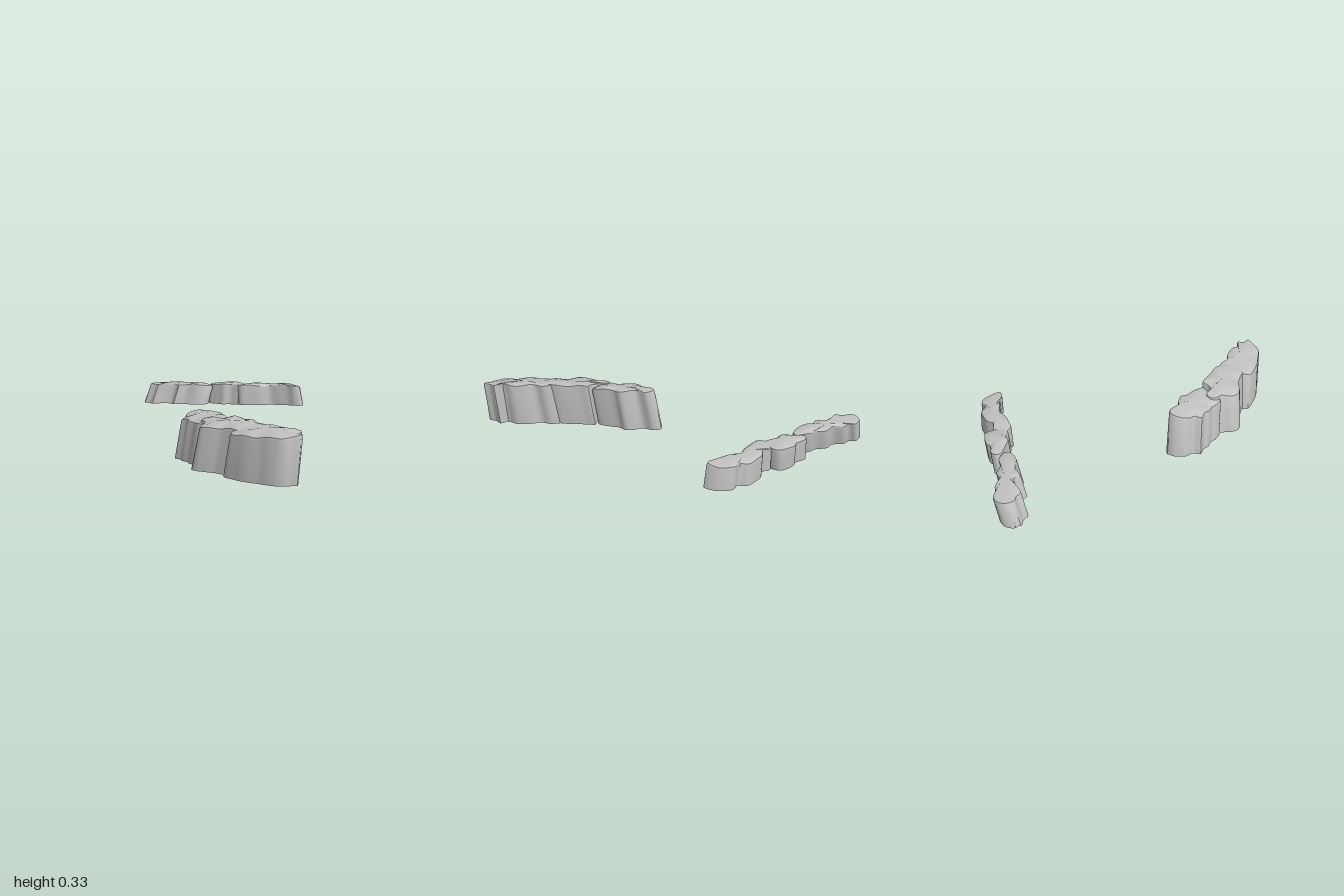
import * as THREE from 'three';
import { toCreasedNormals } from 'three/addons/utils/BufferGeometryUtils.js';

const stone = new THREE.MeshStandardMaterial({ color: 0xc0c0c0, side: THREE.DoubleSide });
stone.name = 'grey stone';

// Small repeatable jitter in -1..1
const jitter = (n) => {
  const s = Math.sin(n * 12.9898) * 43758.5453;
  return (s - Math.floor(s)) * 2 - 1;
};

// One craggy rock: lobed rim outline [x, z, ...] in hundredths, leaning walls, sloped domed top, open below
function rock(name, outline, { height, tilt, shift, flare, base }) {
  const points = [];
  for (let i = 0; i < outline.length; i += 2) {
    points.push(new THREE.Vector3(outline[i] / 100, 0, outline[i + 1] / 100));
  }
  const curve = new THREE.CatmullRomCurve3(points, true, 'centripetal');
  const count = points.length * 4;
  const rim = [];
  for (let i = 0; i < count; i++) rim.push(curve.getPoint(i / count));
  const c = new THREE.Box3().setFromPoints(points).getCenter(new THREE.Vector3());

  // Top height at a point scaled k from the centre
  const top = (p, k) => {
    const x = c.x + (p.x - c.x) * k;
    const z = c.z + (p.z - c.z) * k;
    const y = height + tilt[0] * (x - c.x) + tilt[1] * (z - c.z)
      - 0.016 * k ** 4 + 0.004 * Math.sin(x * 31 + z * 23);
    return [x, y, z];
  };
  const rings = [
    // Foot, jagged by the jitter
    (p, i) => {
      const k = flare + 0.03 * jitter(Math.floor(i / 3) + points.length);
      const x = c.x + (p.x - c.x) * k + shift[0];
      return [x, base + 0.02 * x, c.z + (p.z - c.z) * k + shift[1]];
    },
    // Shoulder just under the rim
    (p) => {
      const [x, y, z] = top(p, 1);
      return [x + shift[0] * 0.06, y - 0.012, z + shift[1] * 0.06];
    },
    (p) => top(p, 0.975),
    (p) => top(p, 0.8),
    (p) => top(p, 0.5),
    (p) => top(p, 0),
  ];

  const position = [];
  const index = [];
  rings.forEach((ring) => rim.forEach((p, i) => position.push(...ring(p, i))));
  for (let r = 0; r < rings.length - 1; r++) {
    for (let i = 0; i < count; i++) {
      const a = r * count + i;
      const b = r * count + (i + 1) % count;
      index.push(a, a + count, b);
      if (r < rings.length - 2) index.push(b, a + count, b + count);
    }
  }
  const geometry = new THREE.BufferGeometry();
  geometry.setAttribute('position', new THREE.Float32BufferAttribute(position, 3));
  geometry.setIndex(index);
  const mesh = new THREE.Mesh(toCreasedNormals(geometry, 0.55), stone);
  mesh.name = name;
  return mesh;
}

// Outlines run clockwise seen from above; reversed here so faces point outward
const reversed = (o) => {
  const out = [];
  for (let i = o.length - 2; i >= 0; i -= 2) out.push(o[i], o[i + 1]);
  return out;
};

export function createModel() {
  const model = new THREE.Group();
  model.name = 'cliffs';

  // Large front ridge, running diagonally
  const frontRidge = new THREE.Group();
  frontRidge.name = 'frontRidge';
  const front = { tilt: [0.12, -0.12], base: 0.003 };
  frontRidge.add(
    rock('frontRidgeInnerRock', reversed([
      -8, 21, -4, 17, 1, 18, 4, 24, 9, 26, 14, 29, 15, 34, 19, 40, 22, 47, 17, 49,
      13, 53, 8, 54, 4, 51, 1, 46, -3, 43, -5, 39, -9, 36, -7, 32, -9, 27]),
    { ...front, height: 0.275, shift: [-0.04, -0.015], flare: 1.04 }),
    rock('frontRidgeMiddleRock', reversed([
      7, 47, 11, 45, 15, 49, 20, 50, 25, 47, 29, 51, 35, 56, 40, 61, 43, 67, 47, 72,
      42, 78, 35, 79, 29, 75, 24, 72, 17, 70, 11, 67, 9, 61, 10, 55, 7, 51]),
    { ...front, height: 0.285, shift: [-0.04, 0], flare: 1.04 }),
    rock('frontRidgeOuterRock', reversed([
      30, 66, 35, 65, 41, 64, 46, 67, 49, 72, 56, 75, 62, 80, 64, 86, 70, 87, 70, 92,
      72, 96, 67, 98, 62, 99.5, 56, 98, 50, 95, 43, 92, 36, 87, 31, 82, 32, 76, 28, 70]),
    { ...front, height: 0.285, shift: [-0.03, -0.01], flare: 1.04 }),
  );

  // Smaller raised back ridge, running side to side
  const backRidge = new THREE.Group();
  backRidge.name = 'backRidge';
  const back = { tilt: [0.015, 0.06], base: 0.168 };
  backRidge.add(
    rock('backRidgeRightRock', reversed([
      -69, -93, -66, -98, -60, -99.5, -57, -97, -52, -97.5, -46, -94, -40, -95, -34, -92,
      -28, -92, -24, -90, -21, -87, -23, -84, -31, -82, -39, -84, -45, -82, -48, -86,
      -55, -86, -61, -84, -64, -87, -68, -89]),
    { ...back, height: 0.307, shift: [-0.035, 0.022], flare: 1.02 }),
    rock('backRidgeMiddleRock', reversed([
      -24, -93, -21, -95.5, -14, -95, -11, -97, -2, -97, 1, -95, 2, -91, 1, -86,
      -1, -83, -7, -85, -12, -84, -16, -86, -20, -88, -23, -90]),
    { ...back, height: 0.317, shift: [-0.01, 0.01], flare: 1.0 }),
    rock('backRidgeLeftRock', reversed([
      -2, -87, 2, -91, 7, -90, 12, -94, 18, -95.5, 24, -96, 28, -93, 33, -94.5, 38, -92,
      41, -88, 42, -82, 38, -81, 33, -83, 26, -84, 20, -85, 14, -82, 7, -81, 1, -80.5, -2, -83]),
    { ...back, height: 0.32, shift: [0.012, 0.0], flare: 1.03 }),
  );

  model.add(frontRidge, backRidge);
  return model;
}
